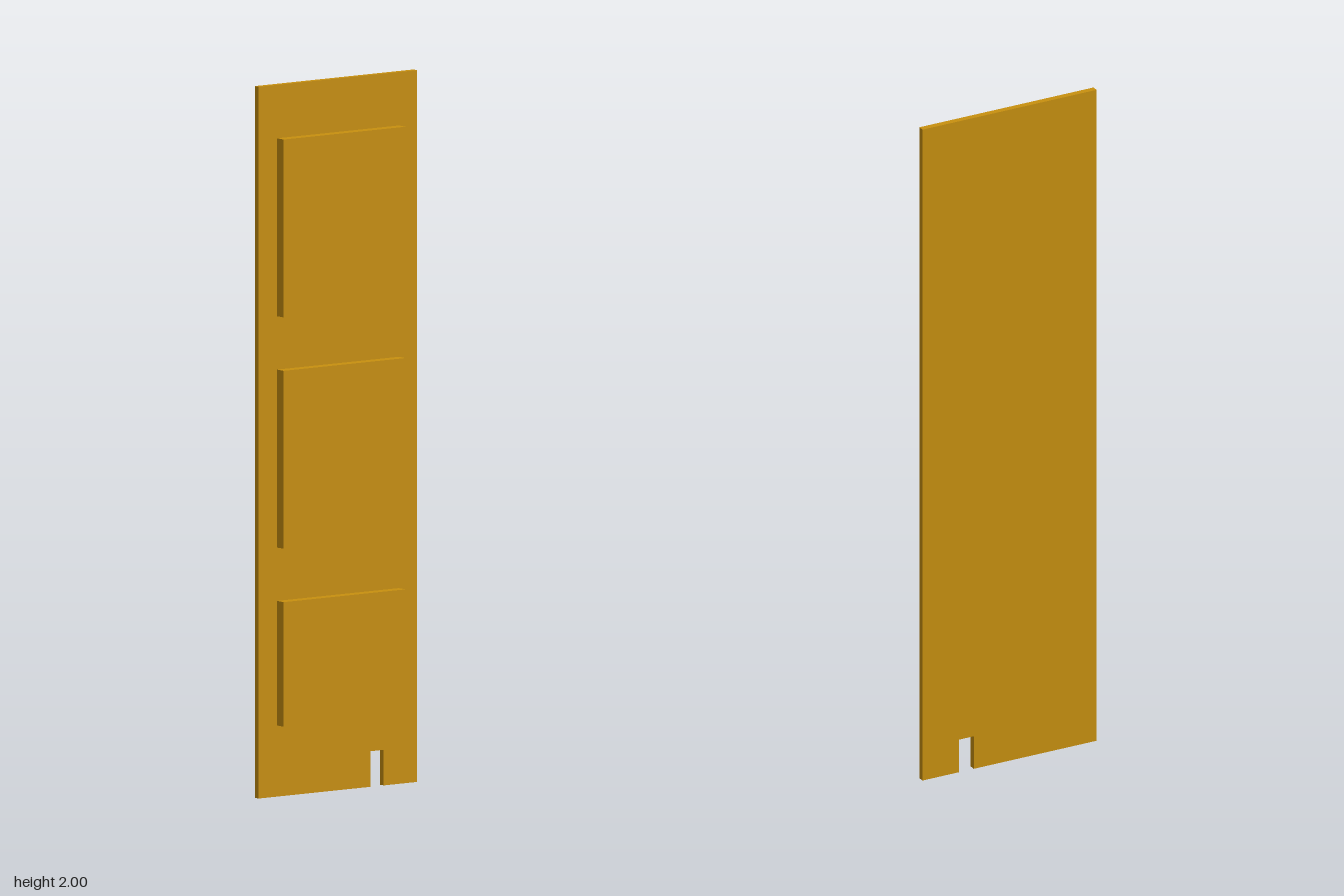
import * as THREE from 'three';

export function createModel() {
  const model = new THREE.Group();
  model.name = 'panelledDoor';
  const wood = new THREE.MeshStandardMaterial({ color: 0xc8900f });
  wood.name = 'ochreWood';

  const halfWidth = 0.275, back = -0.025, boardFront = -0.007, panelFront = 0.024;

  // Thin board with a small notch cut into its bottom edge
  const outline = new THREE.Shape([
    [-halfWidth, 0], [0.113, 0], [0.113, 0.1], [0.159, 0.1], [0.159, 0],
    [halfWidth, 0], [halfWidth, 2], [-halfWidth, 2],
  ].map(([x, y]) => new THREE.Vector2(x, y)));
  const boardGeometry = new THREE.ExtrudeGeometry(outline, { depth: boardFront - back, bevelEnabled: false });
  boardGeometry.translate(0, 0, back);
  const board = new THREE.Mesh(boardGeometry, wood);
  board.name = 'board';
  model.add(board);

  // Raised rectangular panels on the front
  const panels = [['lowerPanel', 0.2, 0.55], ['middlePanel', 0.7, 1.2], ['upperPanel', 1.35, 1.85]];
  for (const [name, bottom, top] of panels) {
    const depth = panelFront - boardFront;
    const panel = new THREE.Mesh(new THREE.BoxGeometry(0.423, top - bottom, depth), wood);
    panel.position.set(0, (bottom + top) / 2, boardFront + depth / 2);
    panel.name = name;
    model.add(panel);
  }
  return model;
}
